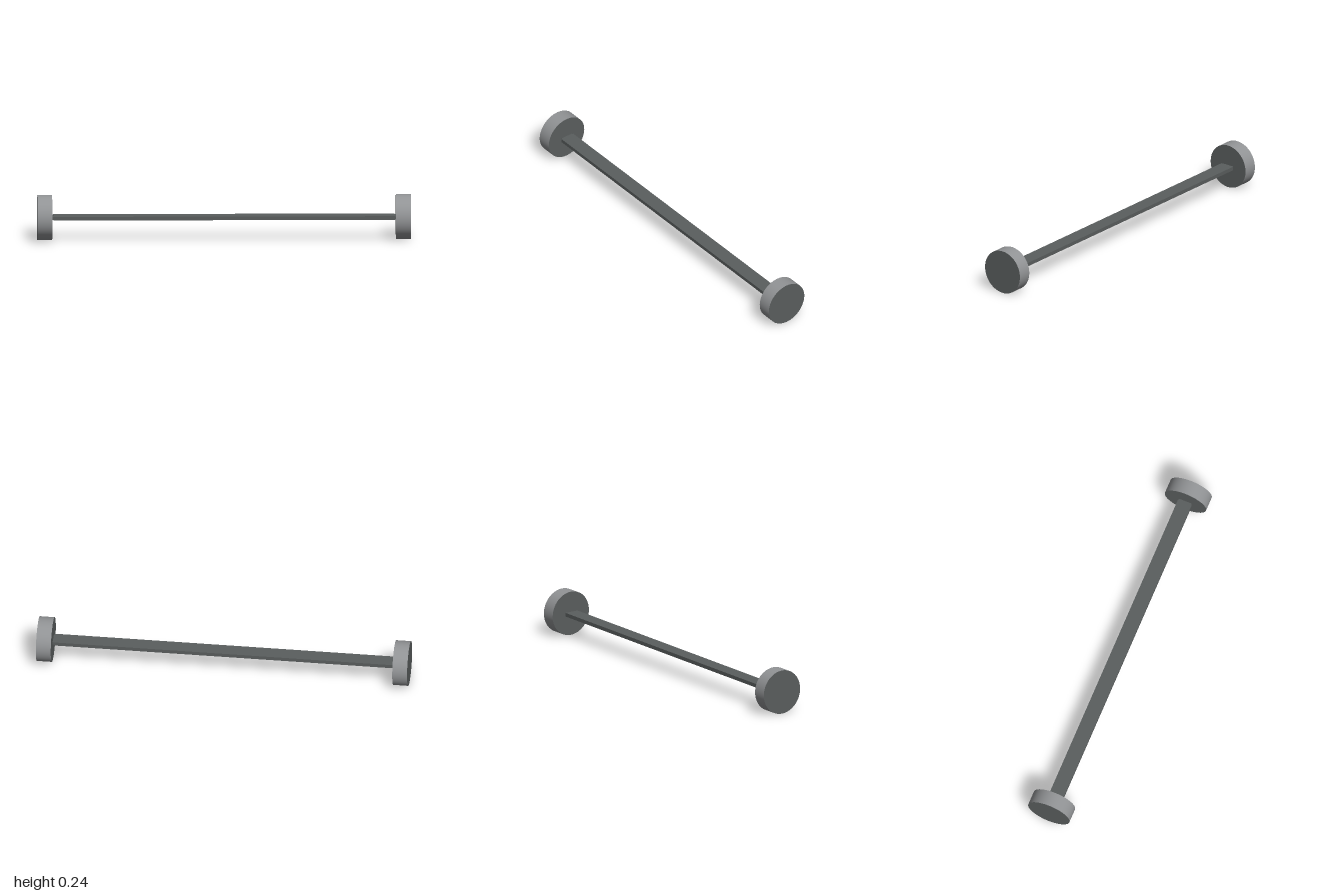
import * as THREE from 'three';

export function createModel() {
  const model = new THREE.Group();
  model.name = 'barWithEndDiscs';

  const darkGrey = new THREE.MeshStandardMaterial({ color: 0x5a5e5e });
  darkGrey.name = 'dark grey';
  const lightGrey = new THREE.MeshStandardMaterial({ color: 0x929496 });
  lightGrey.name = 'light grey';

  const radius = 0.12, width = 0.08, inner = 1 - width;

  const add = (name, geometry, material, x) => {
    const mesh = new THREE.Mesh(geometry, material);
    mesh.name = name;
    mesh.position.set(x, radius, 0);
    model.add(mesh);
  };

  // Flat bar joining the two discs
  add('bar', new THREE.BoxGeometry(2 * (inner - 0.006), 0.02, 0.08), darkGrey, 0);

  // End discs with light rims and dark faces, each on a narrower stub
  const disc = new THREE.CylinderGeometry(radius, radius, width, 64).rotateZ(Math.PI / 2);
  const stub = new THREE.BoxGeometry(0.02, 0.016, 0.07);
  for (const [side, s] of [['left', 1], ['right', -1]]) {
    add(side + 'Disc', disc, [lightGrey, darkGrey, darkGrey], s * (1 - width / 2));
    add(side + 'Stub', stub, darkGrey, s * (inner - 0.005));
  }

  return model;
}
